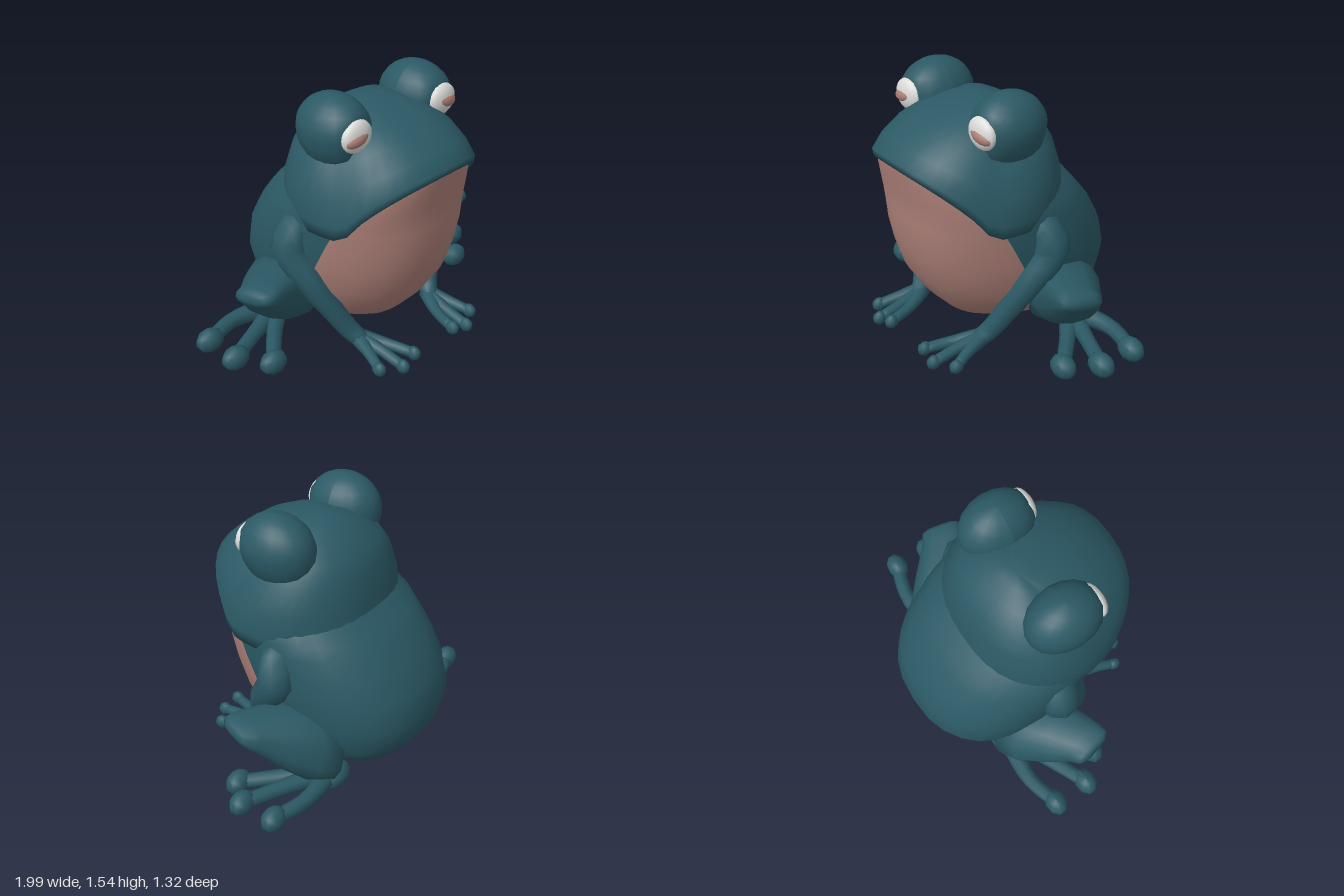
import * as THREE from 'three';

const V = (x, y, z) => new THREE.Vector3(x, y, z);

// Skin closed rings of points with end caps; the first bellyCols columns use material 1
function loft(rings, bellyCols = 0, capStart = true) {
  const n = rings[0].length, pos = [], parts = [[], []];
  rings.forEach(r => r.forEach(p => pos.push(p.x, p.y, p.z)));
  const centre = r => {
    const c = V(0, 0, 0);
    r.forEach(p => c.addScaledVector(p, 1 / n));
    pos.push(c.x, c.y, c.z);
    return pos.length / 3 - 1;
  };
  const c0 = capStart ? centre(rings[0]) : -1;
  const c1 = centre(rings[rings.length - 1]);
  const top = (rings.length - 1) * n;
  for (let j = 0; j < n; j++) {
    const k = (j + 1) % n, idx = parts[j < bellyCols ? 1 : 0];
    for (let i = 0; i < rings.length - 1; i++) {
      const a = i * n + j, b = i * n + k;
      idx.push(a, b, b + n, a, b + n, a + n);
    }
    if (capStart) idx.push(c0, k, j);
    idx.push(c1, top + j, top + k);
  }
  const g = new THREE.BufferGeometry();
  g.setAttribute('position', new THREE.Float32BufferAttribute(pos, 3));
  g.setIndex([...parts[0], ...parts[1]]);
  if (bellyCols) {
    g.addGroup(0, parts[0].length, 0);
    g.addGroup(parts[0].length, parts[1].length, 1);
  }
  g.computeVertexNormals();
  return g;
}

// Round limb through [x, y, z, radius] stations
function limb(stations, steps = 10, sides = 9) {
  const curve = new THREE.CatmullRomCurve3(stations.map(s => V(s[0], s[1], s[2])));
  const frames = curve.computeFrenetFrames(steps);
  const rings = [];
  for (let i = 0; i <= steps; i++) {
    const u = i / steps, t = curve.getUtoTmapping(u) * (stations.length - 1);
    const k = Math.min(Math.floor(t), stations.length - 2);
    const r = THREE.MathUtils.lerp(stations[k][3], stations[k + 1][3], t - k);
    const c = curve.getPointAt(u);
    rings.push(Array.from({ length: sides }, (_, j) => {
      const a = j / sides * Math.PI * 2;
      return c.clone().addScaledVector(frames.normals[i], r * Math.cos(a))
        .addScaledVector(frames.binormals[i], r * Math.sin(a));
    }));
  }
  return loft(rings);
}

function ball(x, y, z, rx, ry, rz, w = 10, h = 8) {
  return new THREE.SphereGeometry(1, w, h).scale(rx, ry, rz).translate(x, y, z);
}

function mirrored(geo) {
  const g = geo.clone().scale(-1, 1, 1), ix = g.index.array;
  for (let i = 0; i < ix.length; i += 3) [ix[i + 1], ix[i + 2]] = [ix[i + 2], ix[i + 1]];
  g.computeVertexNormals();
  return g;
}

export function createModel() {
  const model = new THREE.Group();
  const material = (name, color) => {
    const m = new THREE.MeshStandardMaterial({ color });
    m.name = name;
    return m;
  };
  const skin = material('teal skin', 0x2b5965);
  const belly = material('dusty pink', 0xad8078);
  const white = material('eye white', 0xdcdcda);

  const add = (name, geo, mat) => {
    const m = new THREE.Mesh(geo, mat);
    m.name = name;
    model.add(m);
  };
  const pair = (name, geo, mat) => {
    add(name + 'Left', geo, mat);
    add(name + 'Right', mirrored(geo), mat);
  };
  // Point on a rounded horizontal section whose half width goes from wF in front to wB behind
  const section = (t, y, zF, zB, wF, wB) => {
    const s = Math.sin(t), c = Math.cos(t);
    const w = THREE.MathUtils.lerp(wF, wB, (1 - c) / 2);
    return V(w * Math.sign(s) * Math.abs(s) ** 0.83, y, (zF + zB) / 2 + (zF - zB) / 2 * c);
  };

  // Torso: [y, front z, back z, front and back half widths, z where the belly colour ends]
  const F = 18, B = 18;
  const torso = [
    [0.07, 0.12, -0.15, 0.03, 0.08, -0.04], [0.1, 0.24, -0.37, 0.16, 0.32, -0.03],
    [0.18, 0.33, -0.54, 0.31, 0.46, 0.0], [0.28, 0.42, -0.62, 0.39, 0.53, 0.04],
    [0.44, 0.52, -0.66, 0.465, 0.56, 0.1], [0.6, 0.57, -0.62, 0.49, 0.57, 0.17],
    [0.74, 0.595, -0.54, 0.5, 0.565, 0.24], [0.84, 0.6, -0.46, 0.5, 0.555, 0.29],
    [0.91, 0.605, -0.4, 0.5, 0.54, 0.31], [0.98, 0.615, -0.31, 0.49, 0.51, 0.33],
    [1.08, 0.635, -0.2, 0.455, 0.45, 0.36], [1.15, 0.645, -0.1, 0.39, 0.38, 0.4],
    [1.185, 0.649, -0.05, 0.34, 0.3, 0.42],
  ].map(([y, zF, zB, wF, wB, zb]) => {
    const tb = Math.acos((zb - (zF + zB) / 2) / ((zF - zB) / 2));
    return Array.from({ length: F + B }, (_, j) => section(
      j <= F ? -tb + 2 * tb * j / F : tb + (2 * Math.PI - 2 * tb) * (j - F) / B,
      y, zF, zB, wF, wB));
  });
  add('body', loft(torso, F), [skin, belly]);

  // Head: [front y, back y, front z, back z, front and back half widths]; the rim rises to the lip
  const head = [
    [1.17, 0.86, 0.5, -0.2, 0.4, 0.4], [1.155, 0.825, 0.652, -0.33, 0.505, 0.53],
    [1.195, 0.9, 0.658, -0.31, 0.51, 0.545], [1.26, 1.05, 0.59, -0.285, 0.49, 0.54],
    [1.33, 1.2, 0.49, -0.25, 0.43, 0.47], [1.385, 1.3, 0.37, -0.2, 0.36, 0.38],
    [1.42, 1.38, 0.24, -0.1, 0.25, 0.25], [1.44, 1.43, 0.12, -0.01, 0.12, 0.12],
  ].map(([yF, yB, zF, zB, wF, wB]) => Array.from({ length: 40 }, (_, j) => {
    const p = section(j / 40 * Math.PI * 2, yB, zF, zB, wF, wB);
    const start = zB + (zF - zB) * 0.71;
    p.y += (yF - yB) * Math.max(0, (p.z - start) / (zF - start)) ** 0.76;
    return p;
  }));
  add('head', loft(head, 0, false), skin);

  // Eye bulbs with a flattened front and a base that runs down into the head
  const bulb = ball(0.312, 1.355, 0.14, 0.175, 0.193, 0.225, 18, 14);
  const bp = bulb.attributes.position;
  for (let i = 0; i < bp.count; i++) {
    bp.setZ(i, Math.min(bp.getZ(i), 0.32));
    const drop = 1.355 - bp.getY(i);
    if (drop > 0) bp.setXYZ(i, bp.getX(i) - drop * 0.12, 1.355 - drop * 1.25, bp.getZ(i) - drop * 0.1);
  }
  bulb.computeVertexNormals();
  pair('eyeBulb', bulb, skin);
  pair('eyeWhite', ball(0.325, 1.37, 0.316, 0.1, 0.09, 0.047, 18, 12), white);
  pair('iris', ball(0, 0, 0, 0.08, 0.044, 0.047, 16, 10)
    .rotateZ(-0.2).translate(0.338, 1.365, 0.325), belly);

  // Front legs and fingers
  pair('frontLeg', limb([
    [0.45, 0.84, 0.06, 0.07], [0.5, 0.77, 0.02, 0.105], [0.515, 0.66, 0.01, 0.115],
    [0.495, 0.5, 0.12, 0.08], [0.4, 0.28, 0.215, 0.062], [0.32, 0.13, 0.28, 0.056],
    [0.29, 0.085, 0.34, 0.05],
  ], 14), skin);
  [[0.165, 0.075, 0.605], [0.27, 0.05, 0.62], [0.385, 0.055, 0.55]].forEach(([x, y, z], i) => {
    const mid = 0.29 + (x - 0.29) * 0.6;
    pair('finger' + (i + 1), limb([
      [0.3, 0.1, 0.29, 0.05], [mid, 0.08, 0.44, 0.033], [x, y, z, 0.03]], 6, 8), skin);
    pair('fingerTip' + (i + 1), ball(x, y, z, 0.035, 0.042, 0.044, 8, 6), skin);
  });

  // Folded hind legs: broad at the hip, narrowing to a blunt knee
  const across = V(-0.25, 0.12, 0.95), up = V(-0.3, 0.95, 0);
  const thigh = [
    [0.4, 0.28, -0.17, 0.2, 0.23], [0.52, 0.335, -0.13, 0.195, 0.22],
    [0.64, 0.4, -0.06, 0.15, 0.18], [0.77, 0.475, 0.025, 0.08, 0.135],
    [0.825, 0.5, 0.045, 0.05, 0.12], [0.842, 0.505, 0.05, 0.025, 0.08],
  ].map(([x, y, z, a, b]) => Array.from({ length: 14 }, (_, j) => {
    const t = j / 14 * Math.PI * 2, sq = v => Math.sign(v) * Math.abs(v) ** 0.8;
    return V(x, y, z).addScaledVector(up, a * sq(Math.cos(t)))
      .addScaledVector(across, b * sq(Math.sin(t)));
  }));
  pair('hindLeg', loft(thigh), skin);

  // Hind feet and long toes
  pair('ankle', ball(0.42, 0.085, -0.285, 0.13, 0.07, 0.09), skin);
  [
    [[0.7, 0.11, -0.31], [0.915, 0.11, -0.255]],
    [[0.68, 0.1, -0.14], [0.91, 0.105, -0.035]],
    [[0.6, 0.085, -0.07], [0.765, 0.075, 0.11]],
  ].forEach(([m, e], i) => {
    pair('toe' + (i + 1), limb([
      [0.4, 0.09, -0.27, 0.065], [...m, 0.045], [...e, 0.042]], 8, 8), skin);
    pair('toeTip' + (i + 1), ball(...e, 0.085, 0.07, 0.064, 9, 7), skin);
  });

  return model;
}
